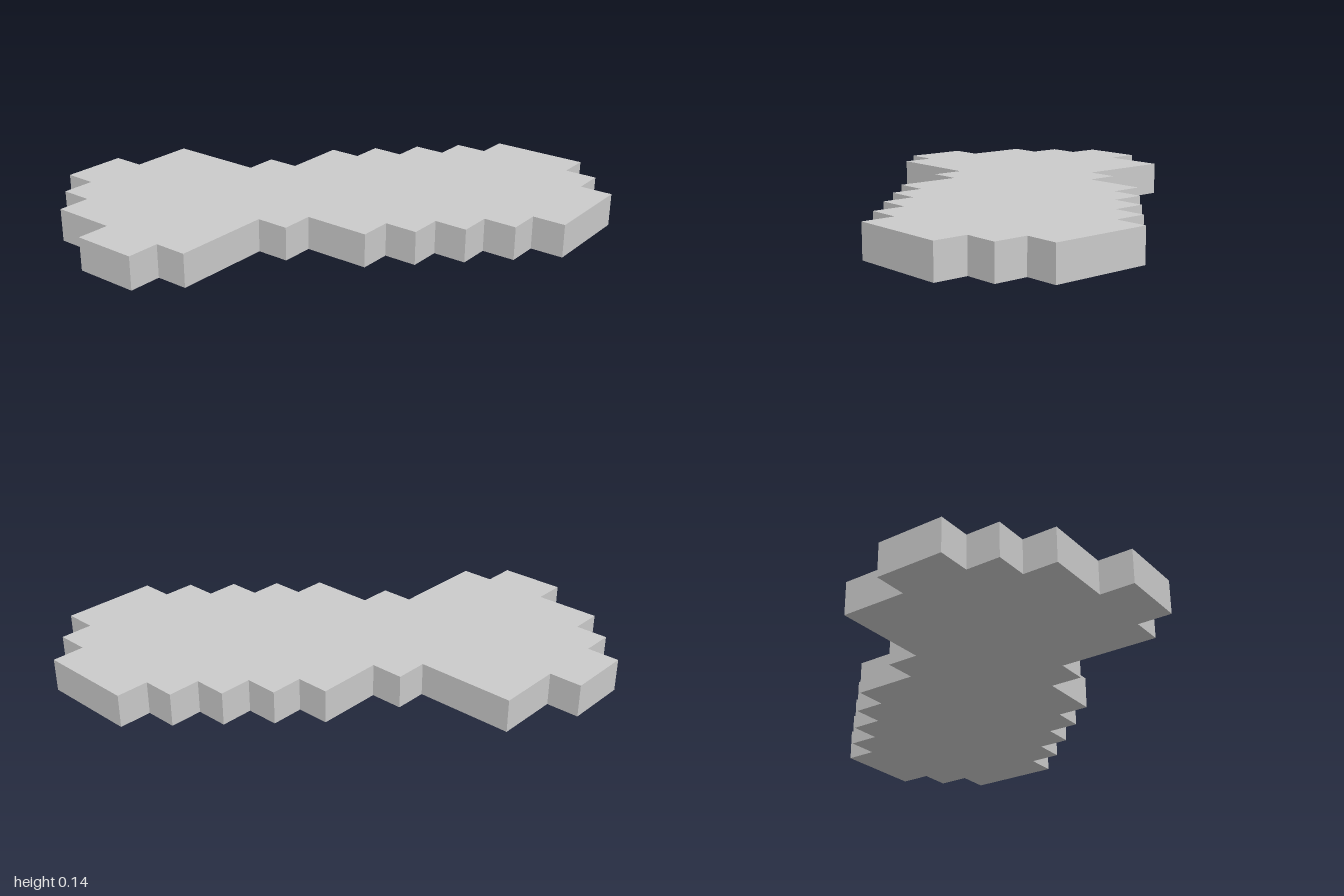
import * as THREE from 'three';

// Flat slab with a stepped outline, laid out on a 14 x 14 grid of square cells
const CELL = 1 / 7;

// Left and right edge of each row of cells, from back to front
const ROWS = [
  [2, 5], [1, 6], [0, 7], [-1, 7], [-2, 7], [-2, 6], [-3, 5],
  [-6, 4], [-6, 3], [-7, 1], [-7, 0], [-6, 0], [-5, 0], [-3, -1],
];

// Walk down the right edges, then back up the left edges, adding corners only at steps
function steppedOutline(rows) {
  const side = (k) => {
    const points = [];
    rows.forEach((row, i) => {
      const z = i - rows.length / 2;
      if (i === 0 || row[k] !== rows[i - 1][k]) points.push([row[k], z]);
      if (i === rows.length - 1 || row[k] !== rows[i + 1][k]) points.push([row[k], z + 1]);
    });
    return points;
  };
  return [...side(1), ...side(0).reverse()]
    .map(([x, z]) => new THREE.Vector2(x * CELL, z * CELL));
}

export function createModel() {
  const group = new THREE.Group();
  group.name = 'steppedSlab';

  // Extrude one cell thick and lay flat on the ground
  const geometry = new THREE.ExtrudeGeometry(new THREE.Shape(steppedOutline(ROWS)), {
    depth: CELL,
    bevelEnabled: false,
  });
  geometry.rotateX(Math.PI / 2);
  geometry.translate(0, CELL, 0);

  const slab = new THREE.Mesh(
    geometry,
    new THREE.MeshStandardMaterial({ color: 0xcccccc, flatShading: true }),
  );
  slab.name = 'slab';
  group.add(slab);
  return group;
}
